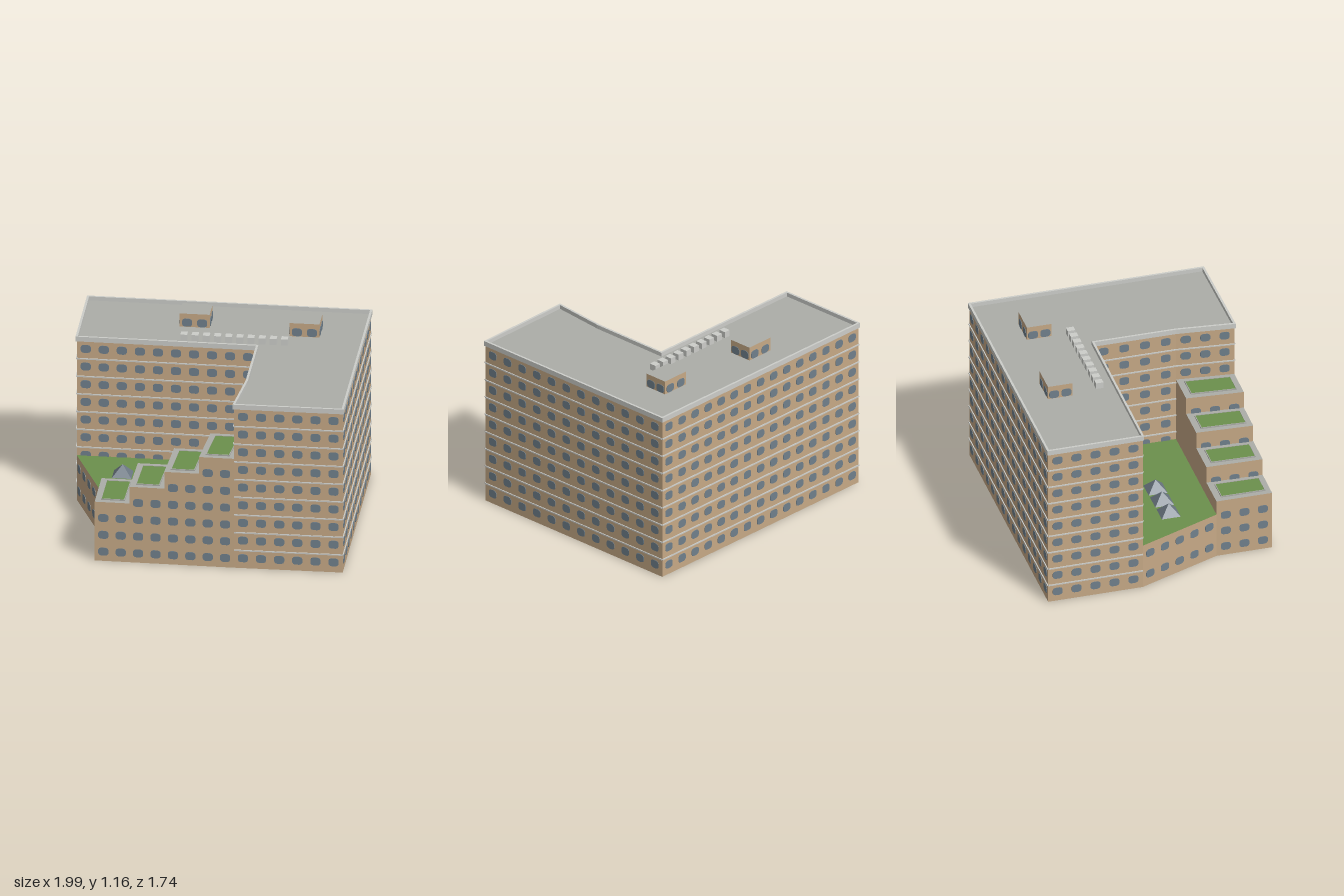
import * as THREE from 'three';
import { mergeGeometries } from 'three/addons/utils/BufferGeometryUtils.js';

const mat = (name, color, side = THREE.FrontSide) => {
  const m = new THREE.MeshStandardMaterial({ color, side });
  m.name = name;
  return m;
};

export function createModel() {
  const root = new THREE.Group();
  const tan = mat('tan wall', 0xc6a986, THREE.DoubleSide);
  const roofGray = mat('roof gray', 0xacada8, THREE.DoubleSide);
  const trim = mat('light trim', 0xcccdc9);
  const grass = mat('grass green', 0x6c904c, THREE.DoubleSide);
  const glass = mat('window blue gray', 0x70808c);
  const skyGlass = mat('skylight glass', 0x6c7883);

  // Plan corners as [x, z]
  const A = [-0.992, -0.57], B = [0.733, -0.864], C = [0.986, 0.608], D = [0.325, 0.727];
  const K = [0.3, 0.364], E = [0.212, -0.158], F = [-0.888, 0.026];
  const T = [-0.585, 0.515], G = [-0.525, 0.865];
  const TILT = Math.atan2(0.294, 1.725);
  const H = 1.07, FLOOR = H / 9, LAWN = 0.3;

  const add = (parent, name, geo, m) => {
    const mesh = new THREE.Mesh(geo, m);
    mesh.name = name;
    parent.add(mesh);
    return mesh;
  };
  const group = (name) => {
    const g = new THREE.Group();
    g.name = name;
    root.add(g);
    return g;
  };
  const lerp = (p, q, t) => [p[0] + (q[0] - p[0]) * t, p[1] + (q[1] - p[1]) * t];
  const len = (p, q) => Math.hypot(q[0] - p[0], q[1] - p[1]);

  // Moves geometry built in a wall's own frame (x along p to q, z outward) into place
  const onWall = (geo, p, q) => {
    const mid = lerp(p, q, 0.5);
    return geo.rotateY(-Math.atan2(q[1] - p[1], q[0] - p[0])).translate(mid[0], 0, mid[1]);
  };
  const wallPlane = (p, q, y0, y1) =>
    onWall(new THREE.PlaneGeometry(len(p, q), y1 - y0).translate(0, (y0 + y1) / 2, 0), p, q);
  const flat = (pts, y) =>
    new THREE.ShapeGeometry(new THREE.Shape(pts.map(([x, z]) => new THREE.Vector2(x, -z))))
      .rotateX(-Math.PI / 2).translate(0, y, 0);

  // Rounded window plate
  const outline = [];
  for (let i = 0; i < 12; i++) {
    const a = ((i + 0.5) / 12) * Math.PI * 2, c = Math.cos(a), s = Math.sin(a);
    outline.push(new THREE.Vector2(0.032 * Math.sign(c) * Math.abs(c) ** 0.65,
      0.027 * Math.sign(s) * Math.abs(s) ** 0.65));
  }
  const pane = new THREE.ExtrudeGeometry(new THREE.Shape(outline),
    { depth: 0.003, bevelEnabled: false });
  // "through" panes also show on the inner face of the wall
  const windows = (p, q, count, ys, through) => {
    const out = [], L = len(p, q);
    for (const y of ys) for (let i = 0; i < count; i++) {
      const g = pane.clone();
      if (through) g.scale(1, 1, 2).translate(0, 0, -0.003);
      out.push(onWall(g.translate(((i + 0.5) / count - 0.5) * L, y, 0), p, q));
    }
    return out;
  };
  const rows = (from, to, step, start) =>
    Array.from({ length: to - from }, (_, i) => start + (from + i) * step);

  // Main L-shaped building: [start, end, windows per floor, first floor, through]
  const edges = [
    [F, E, 10, 2, false], [E, K, 4, 0, true], [K, D, 3, 0, true], [D, C, 6, 0, false],
    [C, B, 12, 0, false], [B, A, 15, 0, false], [A, F, 5, 0, true],
  ];
  const main = group('mainBuilding');
  add(main, 'mainWalls', mergeGeometries(edges.map(([p, q]) => wallPlane(p, q, 0, H))), tan);
  add(main, 'mainRoof', flat([F, E, K, D, C, B, A], H + 0.004), roofGray);
  add(main, 'mainWindows', mergeGeometries(edges.flatMap(([p, q, n, from, through]) =>
    windows(p, q, n, rows(from, 9, FLOOR, 0.067), through))), glass);
  const band = (p, q, y, h, t) =>
    onWall(new THREE.BoxGeometry(len(p, q) + t, h, t).translate(0, y, 0), p, q);
  add(main, 'parapet', mergeGeometries(edges.map(([p, q]) => band(p, q, 1.084, 0.032, 0.014))), trim);
  // Thin ledges between floors
  const ledges = [];
  for (const [p, q, , from] of edges) for (let i = Math.max(1, from + 1); i < 9; i++)
    ledges.push(onWall(new THREE.BoxGeometry(len(p, q), 0.008, 0.006)
      .translate(0, i * FLOOR, 0.003), p, q));
  add(main, 'floorLedges', mergeGeometries(ledges), trim);

  // Stepped terraces, each one floor higher toward the main building
  for (let i = 0; i < 4; i++) {
    const g = group('terrace' + (i + 1));
    const h = 0.395 + i * 0.1125, n = 3 + i;
    const b0 = lerp(T, K, i / 4), b1 = lerp(T, K, (i + 1) / 4);
    const f0 = lerp(G, D, i / 4), f1 = lerp(G, D, (i + 1) / 4);
    const sides = [[b0, f0], [f0, f1], [b1, b0]];
    add(g, 'terraceWalls', mergeGeometries(sides.map(([p, q]) => wallPlane(p, q, 0, h))), tan);
    add(g, 'terraceRoof', flat([b0, f0, f1, b1], h), roofGray);
    const ys = rows(0, n, 0.113, 0.063);
    add(g, 'terraceWindows', mergeGeometries([
      ...windows(f0, f1, 2, ys, false), ...windows(b0, f0, 3, ys, true)]), glass);
    // Planting bed with a slim kerb
    const at = (u, v) => lerp(lerp(b0, b1, u), lerp(f0, f1, u), v);
    const bed = [at(0.17, 0.12), at(0.17, 0.9), at(0.83, 0.9), at(0.83, 0.12)];
    add(g, 'terraceLawn', flat(bed, h + 0.005), grass);
    add(g, 'lawnKerb', mergeGeometries(bed.map((p, j) =>
      band(p, bed[(j + 1) % 4], h + 0.004, 0.008, 0.005))), roofGray);
  }

  // Low courtyard block with a lawn roof
  const court = group('courtyard');
  add(court, 'courtyardWall', wallPlane(F, T, 0, LAWN), tan);
  add(court, 'courtyardLawn', flat([F, T, K, E], LAWN), grass);
  add(court, 'courtyardWindows', mergeGeometries(windows(F, T, 5, [0.08, 0.23], true)
    .map((w) => w)), glass);

  // Pyramid skylights on the lawn
  for (let i = 0; i < 3; i++) {
    const s = add(court, 'skylight', new THREE.ConeGeometry(0.12 / Math.SQRT2, 0.07, 4)
      .toNonIndexed().rotateY(Math.PI / 4), skyGlass);
    s.geometry.computeVertexNormals();
    s.position.set(-0.535 + i * 0.14, LAWN + 0.035, 0.225 - i * 0.025);
    s.rotation.y = TILT;
  }

  // Rooftop stair houses
  for (const [x, z] of [[-0.262, -0.44], [0.425, -0.493]]) {
    const g = group('stairHouse');
    g.position.set(x, H, z);
    g.rotation.y = TILT;
    const w = 0.093, d = 0.078;
    const c = [[-w, d], [w, d], [w, -d], [-w, -d]];
    const faces = c.map((p, j) => [p, c[(j + 1) % 4]]);
    add(g, 'stairHouseWalls', mergeGeometries(faces.map(([p, q]) => wallPlane(p, q, 0, 0.092))), tan);
    add(g, 'stairHouseRoof', flat(c, 0.092), roofGray);
    add(g, 'stairHouseWindows', mergeGeometries(faces.flatMap(([p, q]) =>
      windows(p, q, 2, [0.033], false))), glass);
  }

  // Row of rooftop air units
  const units = group('airUnits');
  for (let i = 0; i < 10; i++) {
    const u = add(units, 'airUnit', new THREE.BoxGeometry(0.042, 0.042, 0.048), trim);
    u.position.set(-0.26 + i * 0.068, H + 0.023, -0.175 - i * 0.0118);
    u.rotation.y = TILT;
  }
  return root;
}
